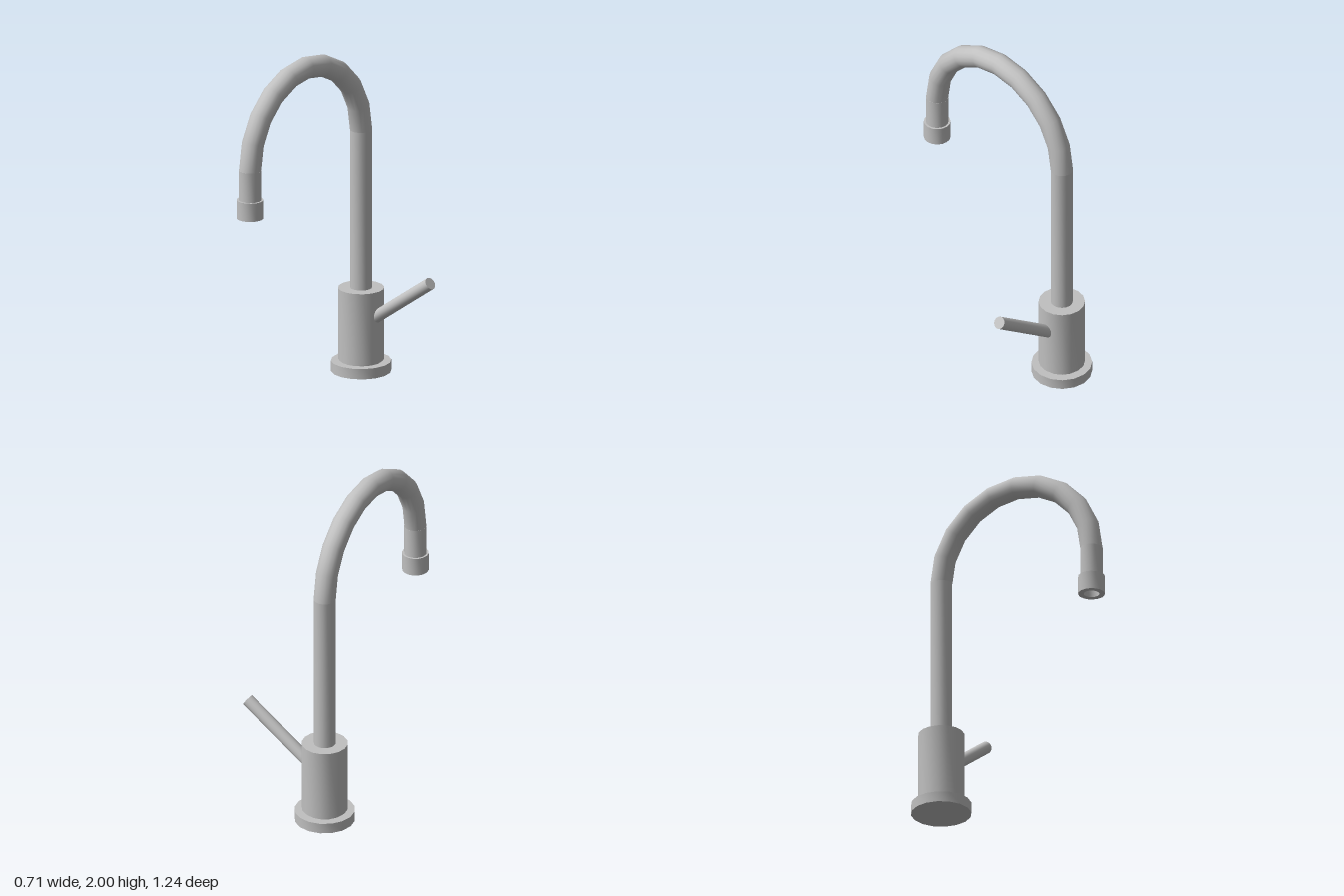
import * as THREE from 'three';
import { toCreasedNormals } from 'three/addons/utils/BufferGeometryUtils.js';

const X = -0.185, BACK = -0.445, FRONT = 0.543, SIDES = 16;

// Half-circle from the top of the column over to the spout
class GooseneckCurve extends THREE.Curve {
  getPoint(t, target = new THREE.Vector3()) {
    const a = Math.PI * (1 - t), r = (FRONT - BACK) / 2;
    return target.set(X, 1.445 + r * Math.sin(a), (FRONT + BACK) / 2 + r * Math.cos(a));
  }
}

export function createModel() {
  const group = new THREE.Group();
  group.name = 'faucet';
  const metal = new THREE.MeshStandardMaterial({ color: 0xc0c0c0 });
  metal.name = 'brushed metal';

  const add = (name, geometry, x = 0, y = 0, z = 0) => {
    const mesh = new THREE.Mesh(toCreasedNormals(geometry, 0.7), metal);
    mesh.name = name;
    mesh.position.set(x, y, z);
    group.add(mesh);
    return mesh;
  };
  // Upright turned part from [radius, height] pairs, bottom to top
  const turned = (name, z, profile) =>
    add(name, new THREE.LatheGeometry(profile.map(p => new THREE.Vector2(...p)), SIDES), X, 0, z);

  // Flange, recessed seam and valve body
  turned('baseFlange', BACK, [[0, 0], [0.174, 0], [0.174, 0.062], [0, 0.062]]);
  turned('baseSeam', BACK, [[0.122, 0.06], [0.122, 0.074]]);
  turned('valveBody', BACK, [[0, 0.072], [0.133, 0.072], [0.133, 0.498], [0, 0.498]]);

  // Column and gooseneck
  turned('column', BACK, [[0.063, 0.49], [0.063, 1.447]]);
  add('gooseneck', new THREE.TubeGeometry(new GooseneckCurve(), 10, 0.064, SIDES, false));

  // Spout end and hollow nozzle
  turned('spoutEnd', FRONT, [[0.065, 1.265], [0.065, 1.447], [0.05, 1.447]]);
  turned('nozzle', FRONT, [[0.045, 1.27], [0.045, 1.16], [0.077, 1.16], [0.077, 1.27], [0.06, 1.27]]);

  // Lever rising from the model's left of the body
  const start = new THREE.Vector2(-0.09, 0.332), end = new THREE.Vector2(0.331, 0.627);
  const span = end.clone().sub(start);
  const lever = add('lever', new THREE.CylinderGeometry(0.036, 0.036, span.length(), SIDES),
    (start.x + end.x) / 2, (start.y + end.y) / 2, BACK);
  lever.rotation.z = span.angle() - Math.PI / 2;

  return group;
}
